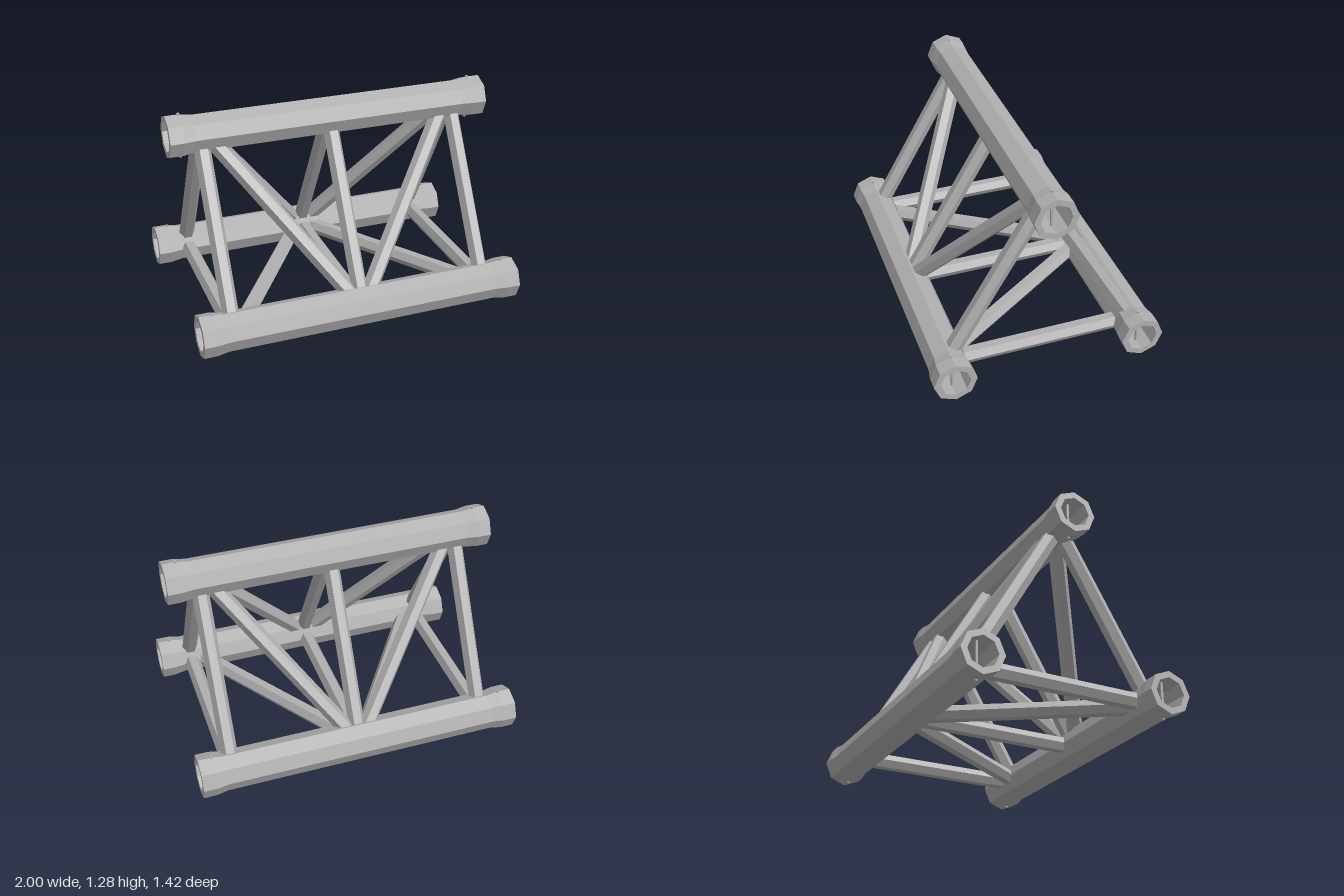
import * as THREE from 'three';

export function createModel() {
  const group = new THREE.Group();
  const metal = new THREE.MeshStandardMaterial({ color: 0xb0b0b0, flatShading: true });
  metal.name = 'grey metal';

  const add = (name, geometry) => {
    const mesh = new THREE.Mesh(geometry, metal);
    mesh.name = name;
    group.add(mesh);
    return mesh;
  };

  // Axes of the three main tubes, which all run along x
  const top = new THREE.Vector3(0, 1.142, 0);
  const front = new THREE.Vector3(0, 0.137, 0.58);
  const back = new THREE.Vector3(0, 0.137, -0.58);

  // Hollow octagonal tube with flared ends
  const wide = 0.13, slim = 0.118, bore = 0.092;
  const profile = [
    [bore, -1], [wide, -1], [wide, -0.92], [slim, -0.85],
    [slim, 0.85], [wide, 0.92], [wide, 1], [bore, 1], [bore, -1],
  ].map(([r, y]) => new THREE.Vector2(r, y));
  const tubeGeometry = new THREE.LatheGeometry(profile, 8).rotateZ(Math.PI / 2);
  const pinGeometry = new THREE.CylinderGeometry(0.009, 0.009, 0.274, 8);

  for (const [name, p] of [['topTube', top], ['frontTube', front], ['backTube', back]]) {
    add(name, tubeGeometry).position.copy(p);
    // Upright locking pins through both ends
    for (const x of [-0.92, 0.92]) {
      add(name + 'Pin', pinGeometry).position.set(x, p.y, p.z);
    }
  }

  // Hexagonal strut between two tubes; slanting ones are sheared so their ends follow the tube
  const trim = 0.104;
  function strut(name, a, b, xa, xb) {
    const dir = b.clone().sub(a);
    const span = dir.length();
    dir.normalize();
    const xAxis = new THREE.Vector3(1, 0, 0);
    const zAxis = xAxis.clone().cross(dir);
    const slope = (xb - xa) / span;
    const mid = a.clone().add(b).multiplyScalar(0.5).setX((xa + xb) / 2);
    const geometry = new THREE.CylinderGeometry(0.05, 0.05, span - 2 * trim, 6, 1, false, Math.PI / 2);
    geometry.applyMatrix4(new THREE.Matrix4().makeBasis(
      xAxis.clone().multiplyScalar(Math.hypot(1, slope)),
      dir.clone().addScaledVector(xAxis, slope),
      zAxis,
    ).setPosition(mid));
    add(name, geometry);
  }

  // Each side: three straight struts and two diagonals meeting at the middle of the second tube
  for (const [name, a, b] of [['front', top, front], ['back', top, back], ['bottom', front, back]]) {
    for (const x of [-0.8, 0, 0.8]) strut(name + 'Strut', a, b, x, x);
    for (const s of [-1, 1]) strut(name + 'Diagonal', a, b, s * 0.77, s * 0.01);
  }

  return group;
}
